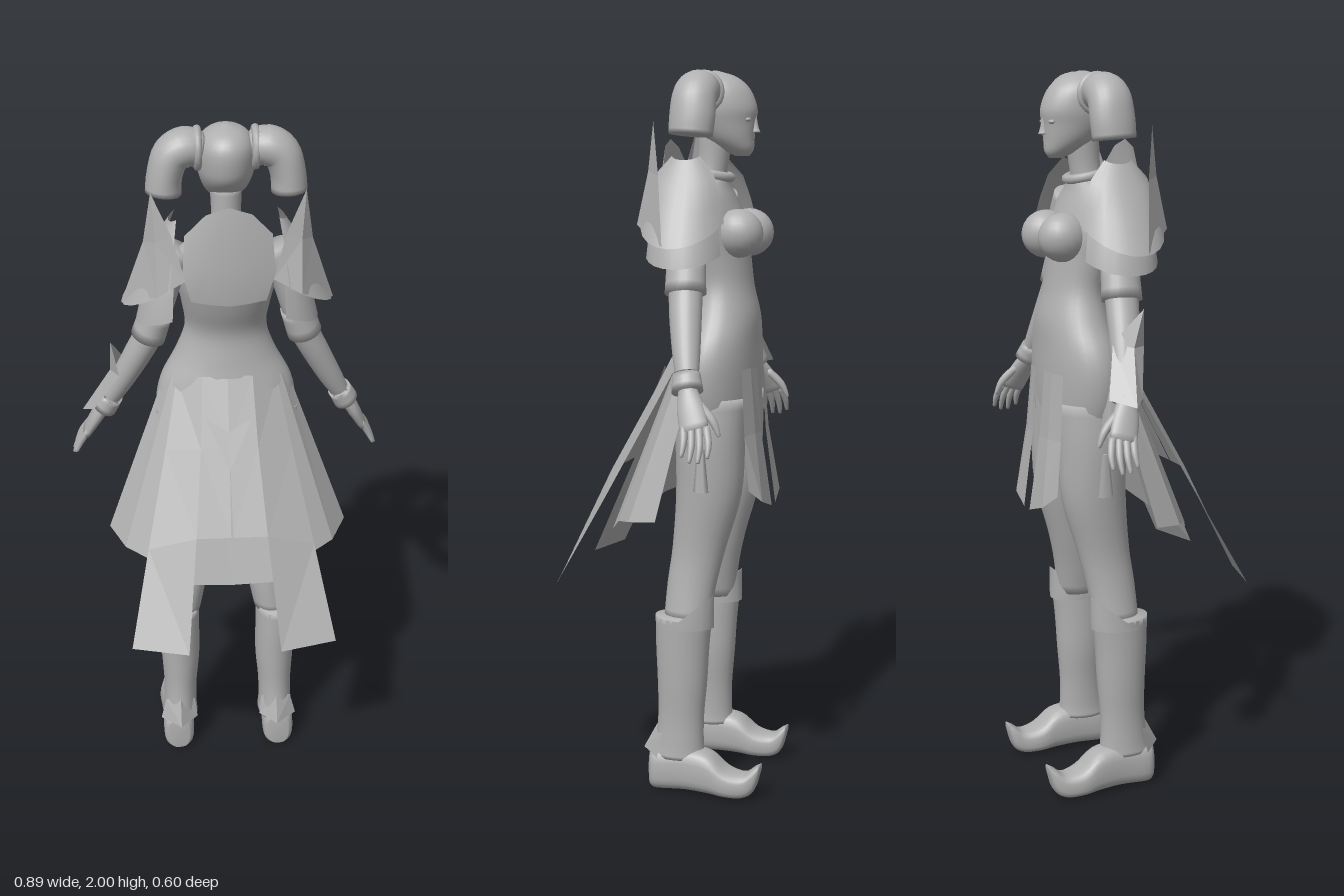
import * as THREE from 'three';

const V = (x, y, z) => new THREE.Vector3(x, y, z);
const UP = V(0, 1, 0), BACK = V(0, 0, 1);
const grey = new THREE.MeshStandardMaterial({ color: 0xb0b0b0, side: THREE.DoubleSide });
grey.name = 'plain grey';

// Smooth body through elliptical sections [x, y, z, radiusA, radiusB]; axis fixes the ring plane.
function loft(sections, axis = null, ref = BACK, n = 24, power = 1) {
  const mid = new THREE.CatmullRomCurve3(sections.map(s => V(s[0], s[1], s[2])), false, 'catmullrom');
  const rad = new THREE.CatmullRomCurve3(sections.map(s => V(s[3], s[4], 0)), false, 'catmullrom');
  const rows = (sections.length - 1) * 4, pos = [], index = [];
  const bend = a => Math.sign(a) * Math.abs(a) ** power;
  for (let i = 0; i <= rows; i++) {
    const c = mid.getPoint(i / rows), r = rad.getPoint(i / rows);
    const t = axis || mid.getTangent(i / rows);
    const u = t.clone().cross(ref).normalize(), v = u.clone().cross(t);
    for (let j = 0; j < n; j++) {
      const a = j / n * Math.PI * 2;
      const p = c.clone().addScaledVector(u, bend(Math.cos(a)) * Math.max(r.x, 0.002))
        .addScaledVector(v, bend(Math.sin(a)) * Math.max(r.y, 0.002));
      pos.push(p.x, p.y, p.z);
      if (i < rows) {
        const k = i * n + j, m = i * n + (j + 1) % n;
        index.push(k, k + n, m, m, k + n, m + n);
      }
    }
  }
  const first = sections[0], last = sections[sections.length - 1], c0 = pos.length / 3;
  pos.push(first[0], first[1], first[2], last[0], last[1], last[2]);
  for (let j = 0; j < n; j++) {
    const k = (j + 1) % n;
    index.push(c0, j, k, c0 + 1, rows * n + k, rows * n + j);
  }
  return build(pos, index);
}

function build(pos, index, flat = false) {
  let g = new THREE.BufferGeometry();
  g.setAttribute('position', new THREE.Float32BufferAttribute(pos, 3));
  g.setIndex(index);
  if (flat) g = g.toNonIndexed();
  g.computeVertexNormals();
  return g;
}

// Cloth or plate spanned by equal rows of points, mirrored in x by s.
function sheet(rows, s = 1, flat = true) {
  const n = rows[0].length, index = [];
  for (let i = 0; i < rows.length - 1; i++) for (let j = 0; j < n - 1; j++) {
    const a = i * n + j, q = [a, a + n, a + 1, a + 1, a + n, a + n + 1];
    index.push(...(s > 0 ? q : q.reverse()));
  }
  return build(rows.flat().flatMap(p => [p[0] * s, p[1], p[2]]), index, flat);
}

export function createModel() {
  const model = new THREE.Group();
  model.name = 'figure';
  const add = (name, geo, parent = model) => {
    const m = new THREE.Mesh(geo, grey);
    m.name = name;
    parent.add(m);
    return m;
  };
  const ball = (name, x, y, z, rx, ry, rz) => {
    const m = add(name, new THREE.SphereGeometry(1, 20, 14));
    m.position.set(x, y, z);
    m.scale.set(rx, ry, rz);
  };
  const flip = (list, s) => list.map(p => [p[0] * s, ...p.slice(1)]);

  // Trunk, neck and head
  add('torso', loft([
    [0, 0.95, -0.13, 0.03, 0.05], [0, 1.0, -0.13, 0.13, 0.09], [0, 1.08, -0.13, 0.18, 0.108],
    [0, 1.18, -0.13, 0.198, 0.112], [0, 1.26, -0.138, 0.185, 0.103], [0, 1.34, -0.145, 0.142, 0.094],
    [0, 1.42, -0.14, 0.114, 0.082], [0, 1.5, -0.12, 0.122, 0.092], [0, 1.57, -0.105, 0.135, 0.098],
    [0, 1.65, -0.09, 0.14, 0.082], [0, 1.69, -0.09, 0.1, 0.066], [0, 1.72, -0.1, 0.05, 0.05]], UP, BACK, 32));
  add('neck', loft([[0, 1.68, -0.09, 0.05, 0.05], [0, 1.75, -0.105, 0.04, 0.043], [0, 1.84, -0.115, 0.043, 0.05]], UP));
  const collar = add('collar', new THREE.TorusGeometry(0.053, 0.013, 8, 24));
  collar.position.set(0, 1.725, -0.103);
  collar.rotation.x = Math.PI / 2 - 0.2;
  add('head', loft([
    [0, 1.772, -0.19, 0.015, 0.018], [0, 1.79, -0.175, 0.036, 0.045], [0, 1.82, -0.15, 0.057, 0.072],
    [0, 1.86, -0.13, 0.071, 0.095], [0, 1.9, -0.125, 0.078, 0.104], [0, 1.95, -0.115, 0.075, 0.094],
    [0, 1.983, -0.11, 0.05, 0.062], [0, 2.0, -0.11, 0.008, 0.01]], UP, BACK, 28));
  add('nose', loft([[0, 1.835, -0.222, 0.011, 0.018], [0, 1.85, -0.22, 0.008, 0.014], [0, 1.88, -0.222, 0.005, 0.006]], UP, BACK, 10));
  ball('lips', 0, 1.808, -0.212, 0.018, 0.007, 0.01);

  // Raised plate behind the shoulders
  add('backPlate', sheet([
    [[-0.115, 1.74, 0], [-0.06, 1.8, 0.012], [0, 1.82, 0.016], [0.06, 1.8, 0.012], [0.115, 1.74, 0]],
    [[-0.122, 1.64, 0.022], [-0.06, 1.66, 0.034], [0, 1.66, 0.038], [0.06, 1.66, 0.034], [0.122, 1.64, 0.022]],
    [[-0.1, 1.56, 0.018], [-0.05, 1.555, 0.028], [0, 1.55, 0.03], [0.05, 1.555, 0.028], [0.1, 1.56, 0.018]]], 1, false));
  add('skirtNotch', sheet([[[-0.065, 1.2, 0.012], [0, 1.165, 0.03], [0.065, 1.2, 0.012]],
    [[0, 1.07, 0.08], [0, 1.07, 0.08], [0, 1.07, 0.08]]]));
  add('frontTabard', sheet([[[-0.06, 1.22, -0.236], [0.06, 1.22, -0.236]], [[-0.025, 0.97, -0.243], [0.025, 0.97, -0.243]]]));

  for (const s of [1, -1]) {
    const side = s > 0 ? 'left' : 'right';
    const put = (name, geo) => add(side + name, geo);
    ball(side + 'Breast', 0.06 * s, 1.565, -0.195, 0.06, 0.066, 0.069);
    ball(side + 'Eye', 0.03 * s, 1.868, -0.213, 0.014, 0.006, 0.008);

    // Tied tail of hair
    const tie = put('HairTie', new THREE.TorusGeometry(0.048, 0.011, 8, 24));
    tie.position.set(0.075 * s, 1.94, -0.1);
    tie.rotation.y = Math.PI / 2;
    put('HairTail', loft(flip([
      [0.07, 1.935, -0.1, 0.045, 0.05], [0.105, 1.945, -0.096, 0.052, 0.058], [0.142, 1.925, -0.095, 0.05, 0.06],
      [0.16, 1.875, -0.095, 0.047, 0.062], [0.165, 1.825, -0.092, 0.048, 0.06]], s)));

    // Shoulder mantle in two tiers with a tall back flap
    const tier = (levels, lift) => levels.map(([y, rx, rz]) => Array.from({ length: 11 }, (_, j) => {
      const a = THREE.MathUtils.degToRad(15 + j * 15.5);
      return [0.13 + Math.sin(a) * rx, y + lift * (1 - Math.sin(a)) * rx / 0.155, -0.07 - Math.cos(a) * rz];
    }));
    put('Mantle', sheet(tier([[1.76, 0.025, 0.04], [1.69, 0.07, 0.085], [1.61, 0.115, 0.105], [1.53, 0.155, 0.12]], 0.09), s, false));
    put('MantleLower', sheet(tier([[1.62, 0.07, 0.08], [1.55, 0.1, 0.1], [1.475, 0.118, 0.108]], 0.06), s, false));
    put('MantleFlap', sheet([
      [[0.2, 1.86, 0], [0.2, 1.86, 0], [0.2, 1.86, 0]],
      [[0.15, 1.75, 0.018], [0.19, 1.73, 0.018], [0.222, 1.72, -0.02]],
      [[0.115, 1.63, 0.04], [0.19, 1.59, 0.05], [0.285, 1.535, -0.05]]], s));

    // Arm, cuffs and hand
    put('Arm', loft(flip([
      [0.125, 1.67, -0.09, 0.045, 0.05], [0.16, 1.6, -0.088, 0.047, 0.055], [0.188, 1.5, -0.088, 0.042, 0.05],
      [0.213, 1.42, -0.094, 0.04, 0.046], [0.25, 1.345, -0.105, 0.038, 0.043], [0.3, 1.25, -0.123, 0.032, 0.036],
      [0.345, 1.17, -0.14, 0.022, 0.026]], s)));
    put('SleeveEnd', loft(flip([[0.19, 1.49, -0.088, 0.045, 0.053], [0.216, 1.41, -0.094, 0.048, 0.056]], s)));
    put('WristCuff', loft(flip([[0.323, 1.21, -0.13, 0.033, 0.037], [0.346, 1.168, -0.14, 0.036, 0.042]], s)));
    put('Palm', loft(flip([[0.345, 1.175, -0.14, 0.02, 0.024], [0.37, 1.13, -0.155, 0.019, 0.036], [0.398, 1.075, -0.175, 0.014, 0.038]], s)));
    for (let f = 0; f < 4; f++) {
      const o = (f - 1.5) * 0.02, long = f === 0 || f === 3 ? 0.85 : 1;
      put('Finger' + (f + 1), loft(flip([
        [0.395, 1.085, -0.175 + o, 0.009, 0.01], [0.395 + 0.027 * long, 1.085 - 0.045 * long, -0.185 + o * 1.1, 0.009, 0.009],
        [0.395 + 0.046 * long, 1.085 - 0.085 * long, -0.185 + o * 1.15, 0.005, 0.005]], s), null, BACK, 10));
    }
    put('Thumb', loft(flip([[0.362, 1.14, -0.175, 0.011, 0.012], [0.372, 1.1, -0.215, 0.011, 0.011], [0.378, 1.06, -0.235, 0.005, 0.005]], s), null, BACK, 10));

    // Leg, boot and upturned shoe
    put('Leg', loft(flip([
      [0.095, 1.12, -0.13, 0.085, 0.1], [0.098, 1.0, -0.13, 0.089, 0.097], [0.1, 0.85, -0.127, 0.079, 0.092],
      [0.106, 0.7, -0.102, 0.062, 0.076], [0.118, 0.6, -0.085, 0.056, 0.07], [0.135, 0.5, -0.075, 0.053, 0.065]], s), UP));
    put('Boot', loft(flip([
      [0.15, 0.1, -0.055, 0.054, 0.078], [0.15, 0.14, -0.058, 0.051, 0.07], [0.148, 0.22, -0.062, 0.051, 0.066],
      [0.146, 0.32, -0.065, 0.058, 0.071], [0.147, 0.42, -0.066, 0.06, 0.076], [0.149, 0.51, -0.07, 0.061, 0.081]], s), UP));
    put('BootTop', sheet([0, 1].map(k => Array.from({ length: 17 }, (_, j) => {
      const a = j / 16 * Math.PI * 2, front = Math.max(0, -Math.cos(a));
      return [0.149 + Math.sin(a) * 0.062, k ? 0.48 : 0.505 + 0.07 * front, -0.073 + Math.cos(a) * 0.084];
    })), s, false));
    put('AnkleFlare', sheet([[[0.105, 0.17, -0.02], [0.15, 0.19, 0.005], [0.195, 0.17, -0.02]],
      [[0.098, 0.105, -0.01], [0.15, 0.11, 0.048], [0.212, 0.105, -0.01]]], s));
    put('Shoe', loft(flip([
      [0.157, 0.06, 0.022, 0.032, 0.055], [0.157, 0.06, 0, 0.047, 0.06], [0.157, 0.067, -0.08, 0.047, 0.062],
      [0.16, 0.062, -0.15, 0.049, 0.058], [0.162, 0.041, -0.2, 0.05, 0.04], [0.163, 0.037, -0.25, 0.04, 0.034],
      [0.161, 0.057, -0.28, 0.03, 0.034], [0.16, 0.09, -0.297, 0.018, 0.012]], s), V(0, 0, -1), UP, 24, 0.7));

    // Split overskirt, its long tail and the wide underskirt
    put('Overskirt', sheet([
      [[0, 1.3, -0.045], [0.07, 1.3, -0.05], [0.14, 1.28, -0.085]],
      [[0, 1.13, 0.04], [0.08, 1.12, 0.042], [0.178, 1.1, 0.005]],
      [[0.003, 0.9, 0.16], [0.1, 0.9, 0.16], [0.235, 0.85, 0.13]]], s));
    put('SkirtTail', sheet([[[0.1, 0.9, 0.16], [0.235, 0.85, 0.13]], [[0.13, 0.6, 0.3], [0.29, 0.6, 0.26]]], s));
    put('Underskirt', sheet([
      [[0, 1.28, -0.05], [0.06, 1.28, -0.05], [0.12, 1.28, -0.07], [0.155, 1.28, -0.09], [0.175, 1.27, -0.12]],
      [[0, 0.73, 0.15], [0.12, 0.735, 0.15], [0.21, 0.78, 0.1], [0.3, 0.8, 0.04], [0.345, 0.815, -0.05]]], s));

    // Front flap, hip pouch and hanging tag
    put('FrontFlap', sheet([
      [[0.03, 1.2, -0.242], [0.07, 1.2, -0.236], [0.115, 1.2, -0.222]],
      [[0.025, 1.02, -0.256], [0.075, 1.02, -0.252], [0.128, 1.02, -0.235]],
      [[0.02, 0.81, -0.287], [0.1, 0.835, -0.28], [0.135, 0.87, -0.25]]], s));
    const pouch = put('HipPouch', new THREE.CylinderGeometry(0.03, 0.042, 0.14, 8));
    pouch.position.set(0.185 * s, 1.11, -0.1);
    pouch.scale.x = 0.6;
    const tag = put('HipTag', new THREE.CylinderGeometry(0.01, 0.022, 0.12, 6));
    tag.position.set(0.19 * s, 0.93, -0.13);
    tag.scale.x = 0.4;
  }

  // Pointed guard on one forearm
  add('forearmGuard', sheet([
    [[-0.32, 1.4, -0.08], [-0.32, 1.4, -0.08], [-0.32, 1.4, -0.08]],
    [[-0.3, 1.3, -0.07], [-0.325, 1.3, -0.11], [-0.28, 1.31, -0.15]],
    [[-0.375, 1.175, -0.11], [-0.408, 1.16, -0.14], [-0.355, 1.175, -0.195]]]));
  return model;
}
